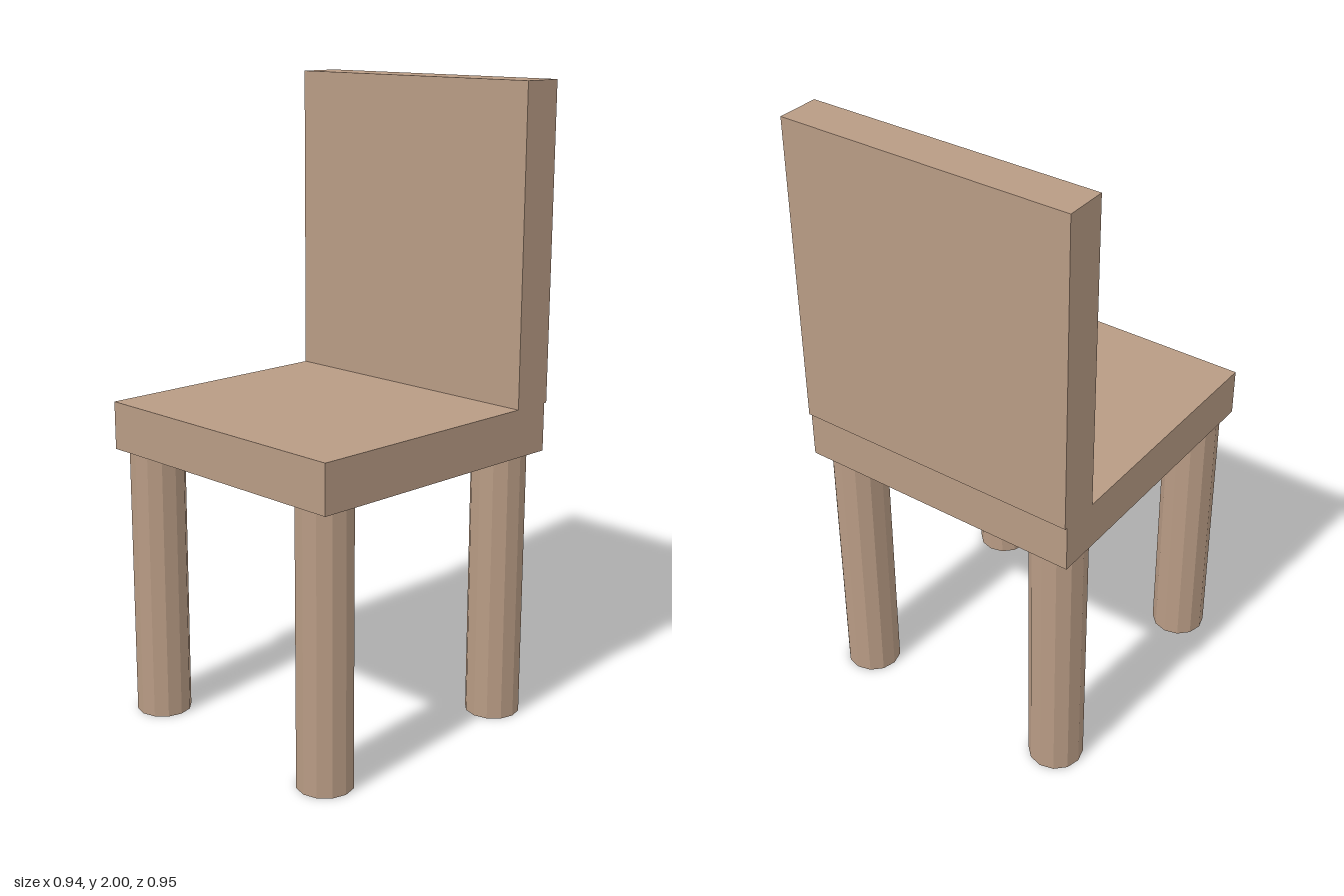
import * as THREE from 'three';

export function createModel() {
  const chair = new THREE.Group();
  chair.name = 'chair';

  const wood = new THREE.MeshStandardMaterial({ color: 0xb89b84 });
  wood.name = 'light brown wood';
  wood.flatShading = true;

  const add = (name, geometry, x, y, z) => {
    const mesh = new THREE.Mesh(geometry, wood);
    mesh.name = name;
    mesh.position.set(x, y, z);
    chair.add(mesh);
  };

  // Seat slab, with the backrest overhanging its rear edge slightly
  add('seat', new THREE.BoxGeometry(0.94, 0.152, 0.94), 0, 0.944, 0.005);
  add('backrest', new THREE.BoxGeometry(0.94, 0.98, 0.135), 0, 1.51, -0.4075);

  // Four twelve-sided legs
  const legHeight = 0.868;
  const leg = new THREE.CylinderGeometry(0.087, 0.087, legHeight, 12);
  for (const [side, x] of [['Left', 0.373], ['Right', -0.378]]) {
    for (const [end, z] of [['front', 0.383], ['back', -0.369]]) {
      add(`${end}${side}Leg`, leg, x, legHeight / 2, z);
    }
  }

  return chair;
}
